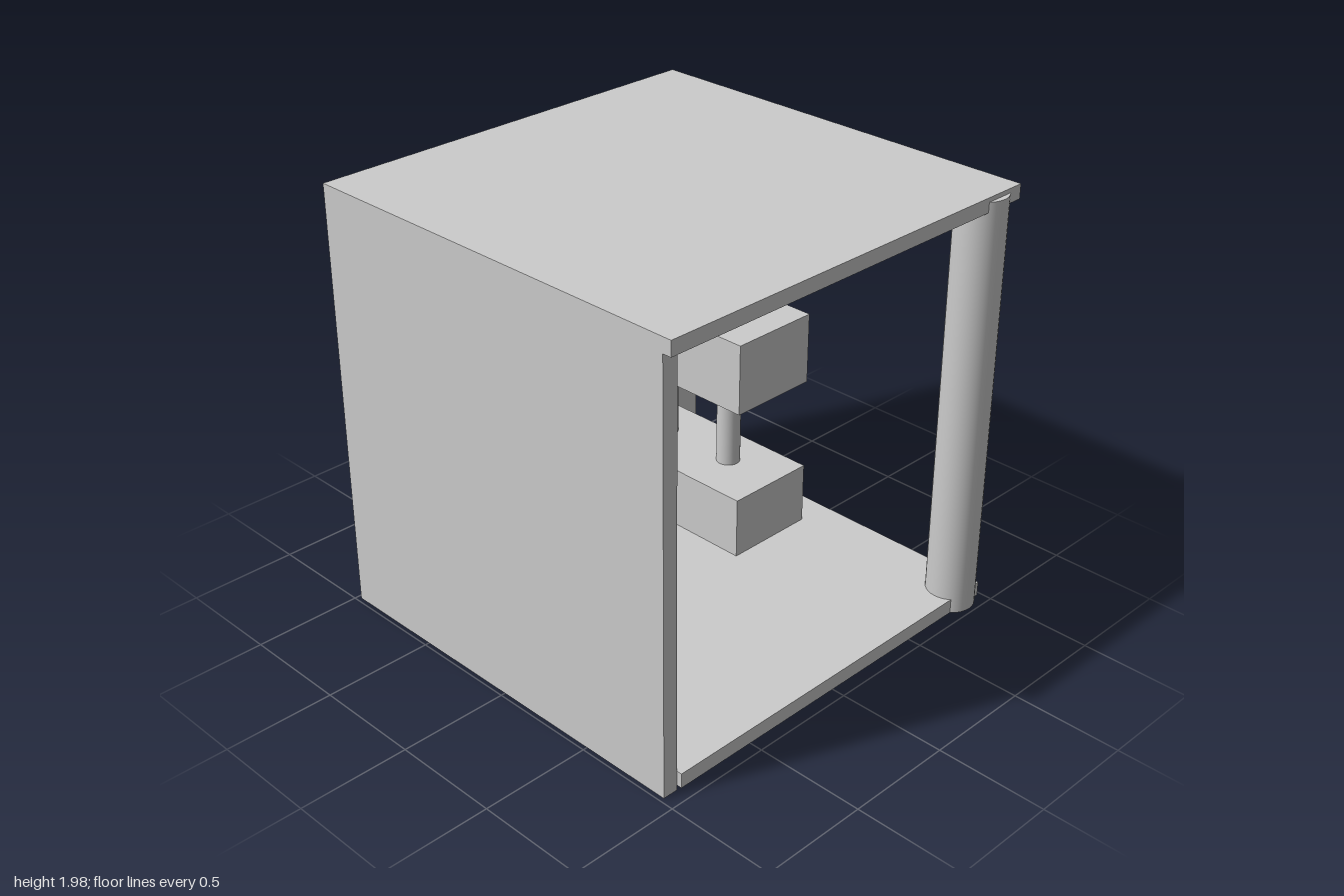
import * as THREE from 'three';

const material = new THREE.MeshStandardMaterial({ color: 0xcccccc });
const flatMaterial = new THREE.MeshStandardMaterial({ color: 0xcccccc, flatShading: true });

export function createModel() {
  const model = new THREE.Group();

  const add = (name, geometry, mat = material) => {
    const mesh = new THREE.Mesh(geometry, mat);
    mesh.name = name;
    model.add(mesh);
    return mesh;
  };
  // Box given by its limits on each axis
  const box = (name, [x0, x1], [y0, y1], [z0, z1]) =>
    add(name, new THREE.BoxGeometry(x1 - x0, y1 - y0, z1 - z0))
      .position.set((x0 + x1) / 2, (y0 + y1) / 2, (z0 + z1) / 2);
  // Upright cylinder between two heights
  const post = (name, x, z, radius, y0, y1, sides = 32, mat = material) =>
    add(name, new THREE.CylinderGeometry(radius, radius, y1 - y0, sides), mat)
      .position.set(x, (y0 + y1) / 2, z);

  // Enclosure: roof, floor, two walls and the corner post
  box('roof', [-0.98, 0.975], [1.915, 1.98], [-0.98, 0.975]);
  box('floor', [-0.91, 0.95], [0.025, 0.093], [-1, 0.96]);
  box('sideWall', [-0.98, -0.91], [0, 1.915], [-0.98, 0.935]);
  box('backWall', [-0.91, 0.95], [0, 1.915], [-0.98, -0.79]);
  post('cornerPost', 0.84, 0.89, 0.11, 0.025, 1.96);

  // Large cabinet with a rounded column set into its side
  box('cabinet', [-0.865, -0.195], [0.09, 1.17], [-0.79, 0.17]);
  post('roundedColumn', -0.215, -0.1, 0.22, 0.09, 1.08, 20, flatMaterial);

  // Two stacked blocks joined by pillars
  box('lowerBlock', [0.345, 0.79], [0.09, 0.383], [-0.79, 0.06]);
  box('upperBlock', [0.325, 0.766], [0.835, 1.17], [-0.79, 0.08]);
  for (const z of [-0.225, -0.625]) post('pillar', 0.585, z, 0.055, 0.37, 0.85);

  // Straight pipe from cabinet to lower block
  const pipe = add('straightPipe', new THREE.CylinderGeometry(0.055, 0.055, 0.6, 24));
  pipe.rotation.z = Math.PI / 2;
  pipe.position.set(0.08, 0.285, -0.58);

  // Elbow pipe from cabinet to upper block, stretched sideways
  const radius = 0.15, tube = 0.06, rise = 0.125;
  const path = new THREE.CurvePath();
  const v = (x, y) => new THREE.Vector3(x, y, 0);
  const k = radius * 0.5523;
  path.add(new THREE.LineCurve3(v(-0.13, -radius), v(0, -radius)));
  path.add(new THREE.CubicBezierCurve3(
    v(0, -radius), v(k, -radius), v(radius, -k), v(radius, 0)));
  path.add(new THREE.LineCurve3(v(radius, 0), v(radius, rise)));
  const elbow = new THREE.TubeGeometry(path, 48, tube, 24);
  const cap = new THREE.CircleGeometry(tube, 24).rotateX(-Math.PI / 2).translate(radius, rise, 0);
  for (const [name, geometry] of [['elbowPipe', elbow], ['elbowPipeEnd', cap]]) {
    geometry.scale(2.28, 1, 1.8);
    add(name, geometry).position.set(0.06, 0.98, -0.59);
  }

  return model;
}
